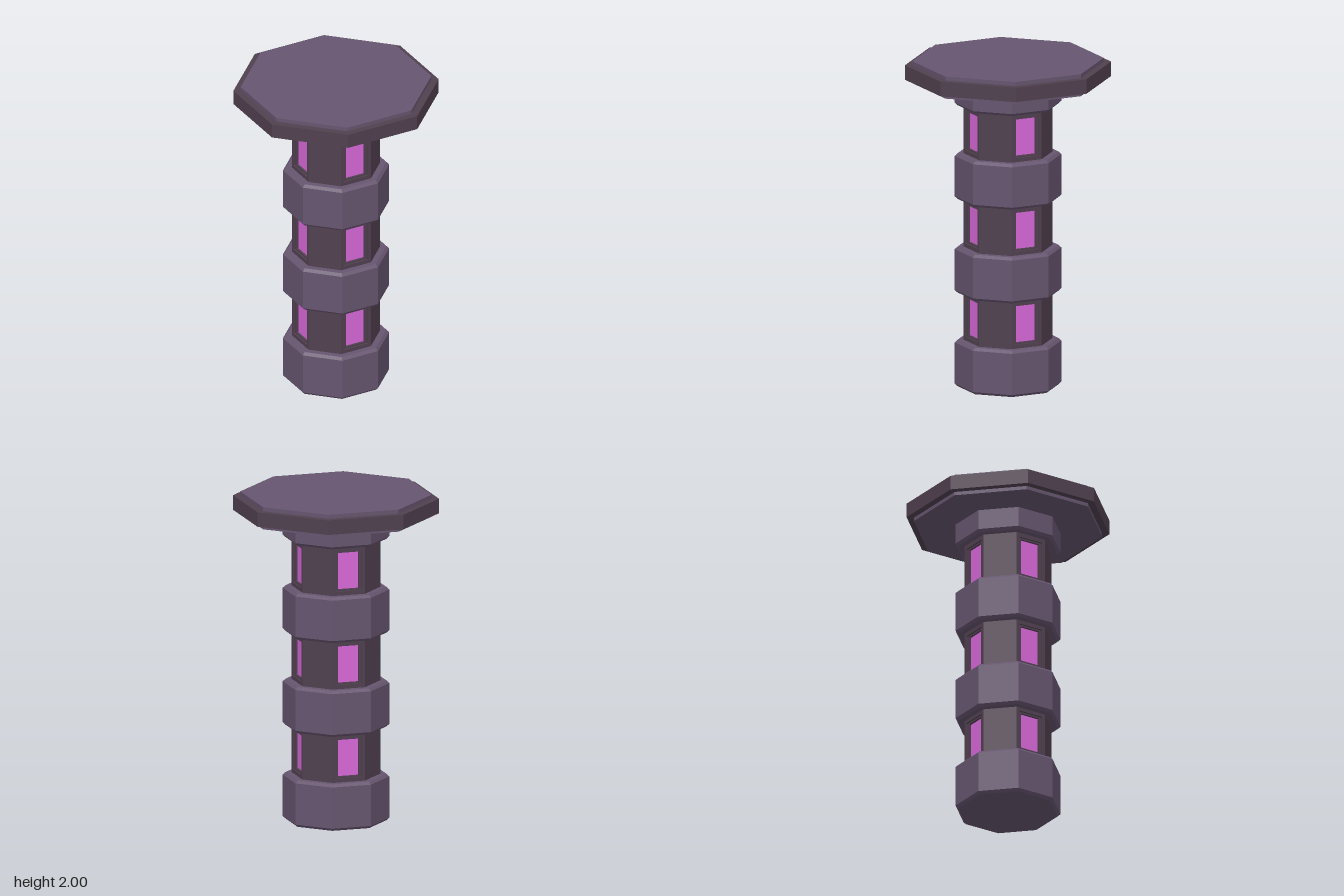
import * as THREE from 'three';

const SIDES = 8;
const RADIUS = 0.265;                                   // shaft corner radius
const APOTHEM = RADIUS * Math.cos(Math.PI / SIDES);
const FACE = 2 * RADIUS * Math.sin(Math.PI / SIDES);    // shaft face width

const mat = (color) => new THREE.MeshStandardMaterial({ color, flatShading: true });

// Rectangular slab, optionally with a rectangular hole; its front lies on z = 0
function slab(w, h, depth, hole) {
  const rect = (P, a, b) => {
    const p = new P();
    p.moveTo(-a / 2, -b / 2);
    p.lineTo(a / 2, -b / 2);
    p.lineTo(a / 2, b / 2);
    p.lineTo(-a / 2, b / 2);
    p.closePath();
    return p;
  };
  const shape = rect(THREE.Shape, w, h);
  if (hole) shape.holes.push(rect(THREE.Path, hole[0], hole[1]));
  return new THREE.ExtrudeGeometry(shape, { depth, bevelEnabled: false }).translate(0, 0, -depth);
}

// Solid eight-sided turned block from [radius, y] pairs
function octagon(pairs) {
  return new THREE.LatheGeometry(pairs.map(([r, y]) => new THREE.Vector2(r, y)), SIDES);
}

export function createModel() {
  const tower = new THREE.Group();
  tower.name = 'tower';
  const stone = mat(0x66556f);
  const darkStone = mat(0x514150);
  const glow = mat(0xd868da);

  const add = (parent, name, geometry, material, y = 0, z = 0) => {
    const mesh = new THREE.Mesh(geometry, material);
    mesh.name = name;
    mesh.position.set(0, y, z);
    parent.add(mesh);
    return mesh;
  };

  // Bevelled stone collars; the last one runs up into the cap
  const b = 0.016;
  [[0, 0.285], [0.575, 0.857], [1.15, 1.43], [1.725, 1.89]].forEach(([y0, y1]) => {
    add(tower, 'collar', octagon([
      [0, y0], [0.302, y0], [0.319, y0 + b], [0.319, y1 - b], [0.302, y1], [0, y1],
    ]), stone);
  });

  // Shaft storeys: eight wall panels, every second one with a recessed window
  const opening = [0.163, 0.245];
  const glass = [0.128, 0.224];
  const wall = slab(FACE, 0.32, 0.04);
  const windowWall = slab(FACE, 0.32, 0.04, opening);
  const frame = slab(opening[0], opening[1], 0.025, glass);
  const pane = new THREE.PlaneGeometry(glass[0], glass[1]);
  [0.431, 1.004, 1.577].forEach((y) => {
    const storey = new THREE.Group();
    storey.name = 'storey';
    storey.position.y = y;
    tower.add(storey);
    for (let i = 0; i < SIDES; i++) {
      const side = new THREE.Group();
      side.name = i % 2 ? 'windowSide' : 'plainSide';
      side.rotation.y = (i + 0.5) * 2 * Math.PI / SIDES;
      storey.add(side);
      add(side, 'wall', i % 2 ? windowWall : wall, darkStone, 0, APOTHEM);
      if (i % 2) {
        add(side, 'windowFrame', frame, darkStone, 0, APOTHEM - 0.01);
        add(side, 'windowPane', pane, glow, 0, APOTHEM - 0.023);
      }
    }
  });

  // Wide cap: a slab with a darker band around its rim
  add(tower, 'capSlab', octagon([[0, 1.865], [0.573, 1.865], [0.573, 2], [0, 2]]), stone);
  add(tower, 'capBand', octagon([
    [0.56, 1.887], [0.617, 1.887], [0.617, 1.976], [0.56, 1.976],
  ]), darkStone);

  return tower;
}
